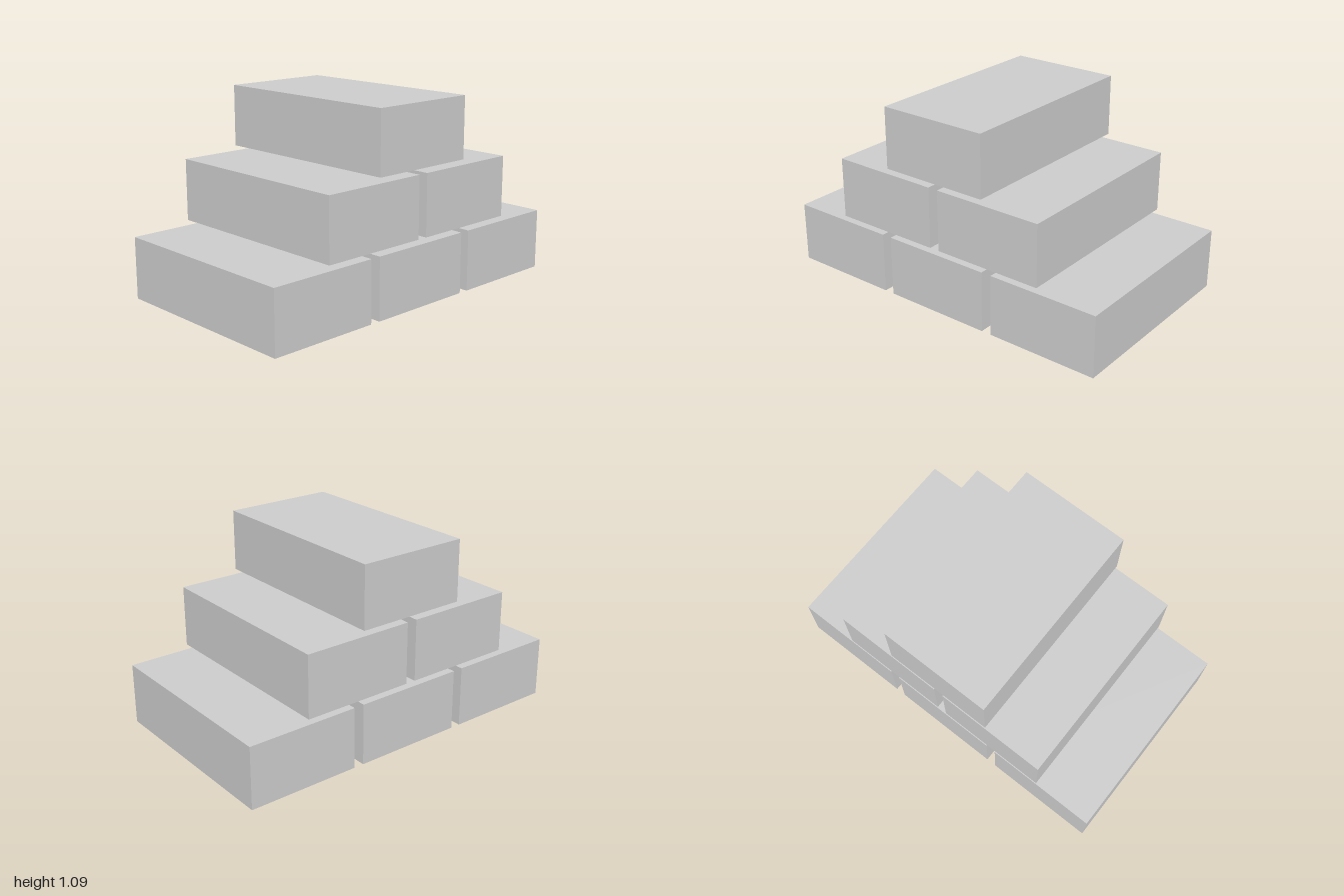
import * as THREE from 'three';

const WIDTH = 0.628, HEIGHT = 0.343, DEPTH = 1.143;
const PITCH_X = 0.686, PITCH_Y = 0.3725;

// Thin-walled box without a floor, standing on y = 0
function openBoxGeometry() {
  const geometry = new THREE.BoxGeometry(WIDTH, HEIGHT, DEPTH);
  const index = Array.from(geometry.index.array);
  const floor = geometry.groups[3];
  index.splice(floor.start, floor.count);
  geometry.setIndex(index);
  geometry.clearGroups();
  return geometry.translate(0, HEIGHT / 2, 0);
}

export function createModel() {
  const model = new THREE.Group();
  model.name = 'boxPyramid';
  const grey = new THREE.MeshStandardMaterial({ color: 0xcccccc, side: THREE.DoubleSide });
  grey.name = 'light grey';
  const geometry = openBoxGeometry();

  // Rows of three, two and one boxes, each centred over the row below
  for (let row = 0; row < 3; row++) {
    const count = 3 - row;
    for (let i = 0; i < count; i++) {
      const box = new THREE.Mesh(geometry, grey);
      box.name = `boxRow${row + 1}Number${i + 1}`;
      box.position.set((i - (count - 1) / 2) * PITCH_X, row * PITCH_Y, 0);
      model.add(box);
    }
  }
  return model;
}
